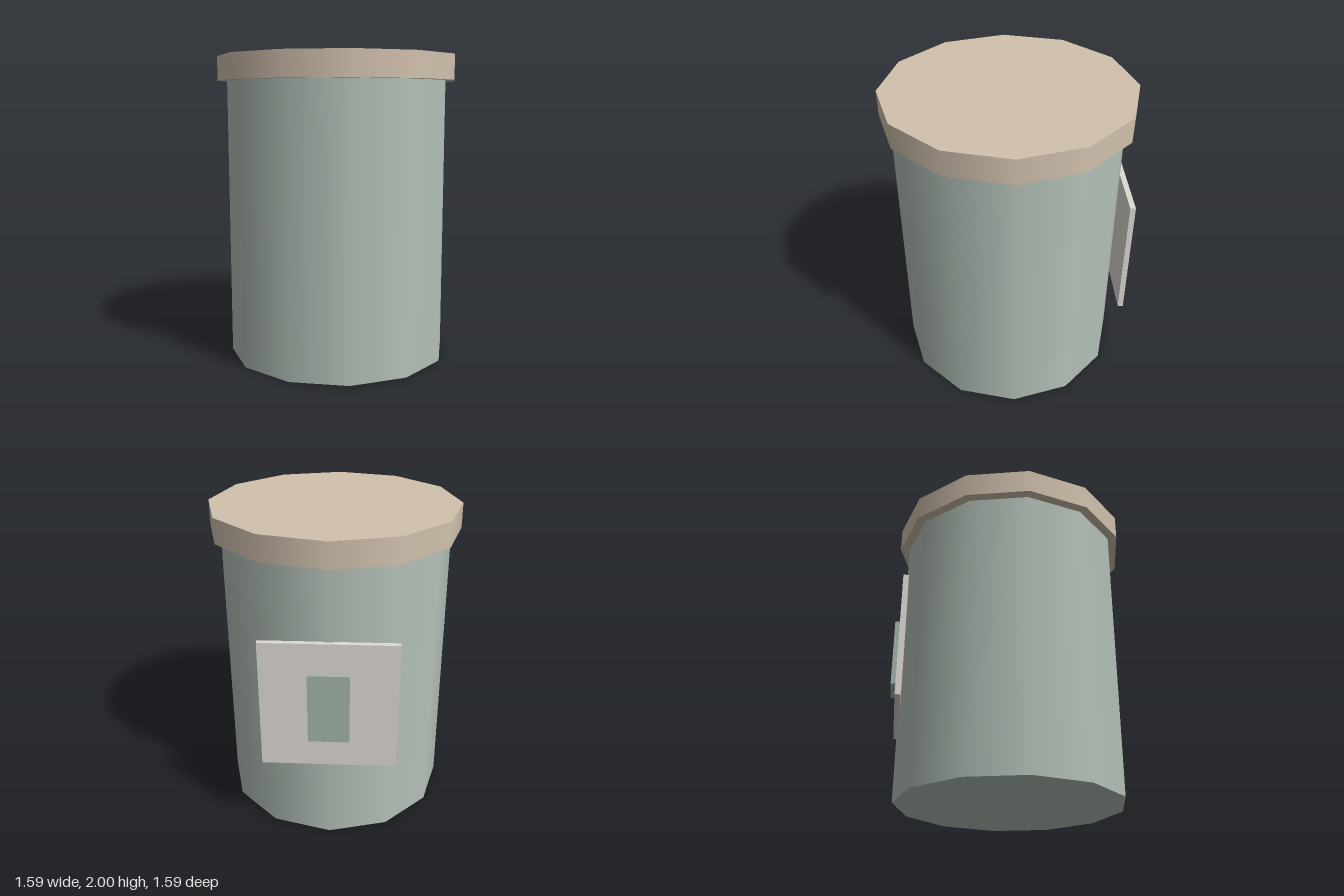
import * as THREE from 'three';

export function createModel() {
  const model = new THREE.Group();
  model.name = 'canister';

  const add = (name, geometry, color, y, z = 0) => {
    const mesh = new THREE.Mesh(geometry, new THREE.MeshStandardMaterial({ color }));
    mesh.name = name;
    mesh.position.set(0, y, z);
    model.add(mesh);
  };

  // twelve-sided drum and its overhanging lid, smooth around the sides
  add('body', new THREE.CylinderGeometry(0.735, 0.735, 1.84, 12), 0xb4c1b8, 0.92);
  add('lid', new THREE.CylinderGeometry(0.797, 0.797, 0.16, 12), 0xd2c2ae, 1.92);

  // flat plate on the back with a small raised panel
  add('backPlate', new THREE.BoxGeometry(0.83, 0.83, 0.035), 0xdedad3, 0.963, -0.742);
  add('backPanel', new THREE.BoxGeometry(0.25, 0.45, 0.035), 0xa3b5a8, 0.963, -0.777);

  return model;
}
